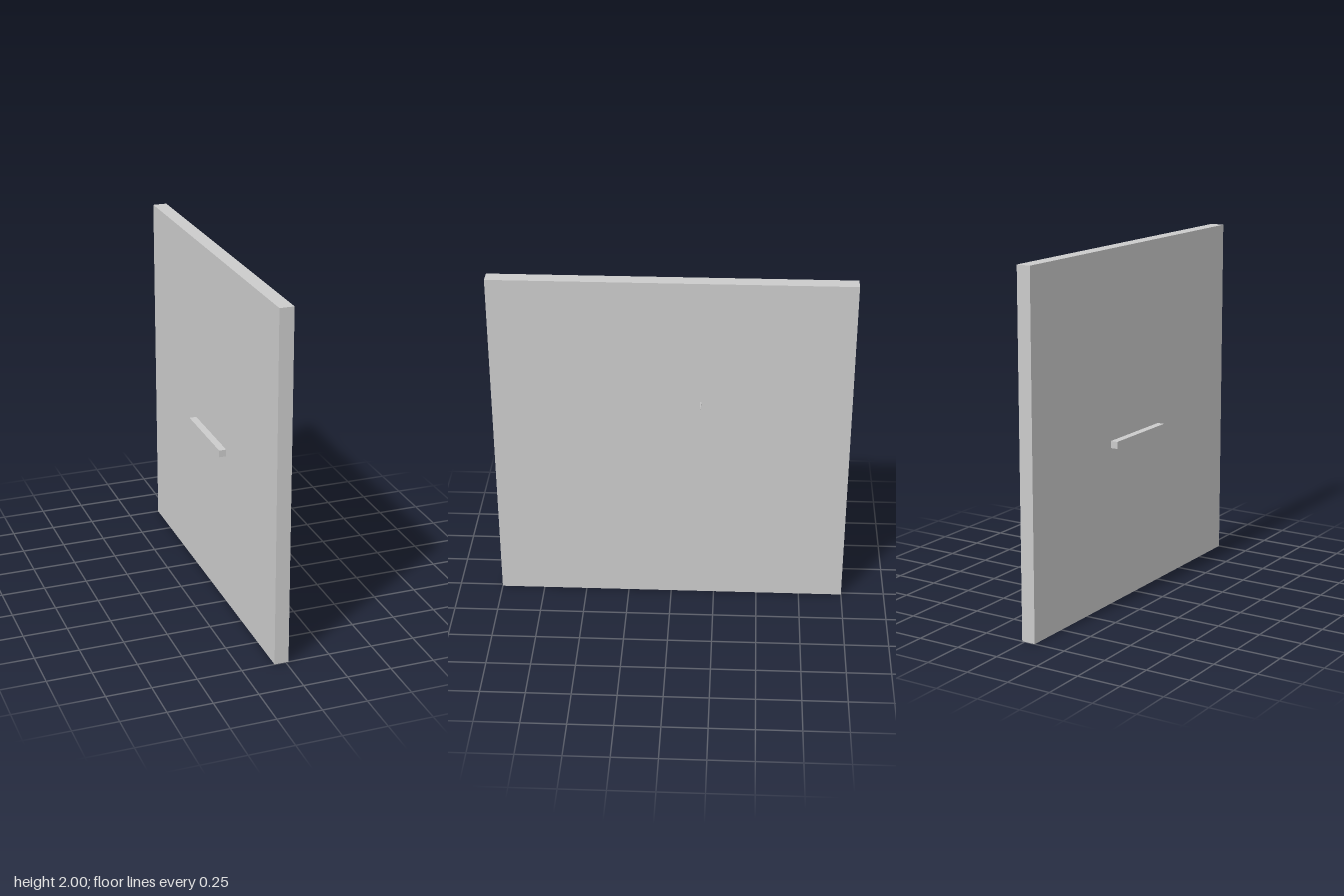
import * as THREE from 'three';

const material = new THREE.MeshStandardMaterial({ color: 0xcccccc, flatShading: true });

function addPart(group, name, geometry, x, y, z) {
  const mesh = new THREE.Mesh(geometry, material);
  mesh.name = name;
  mesh.position.set(x, y, z);
  group.add(mesh);
  return mesh;
}

export function createModel() {
  const group = new THREE.Group();
  group.name = 'wallPanel';

  // Square slab standing on edge
  addPart(group, 'panel', new THREE.BoxGeometry(0.08, 2, 2), -0.024, 1, 0);

  // Horizontal ledge on the right face
  addPart(group, 'ledge', new THREE.BoxGeometry(0.041, 0.04, 0.5), -0.0845, 0.92, 0);

  // Thin tapered pin on the left face
  const pin = addPart(group, 'pin', new THREE.CylinderGeometry(0.0006, 0.003, 0.089, 8), 0.0605, 1.28, -0.165);
  pin.rotation.z = -Math.PI / 2;

  return group;
}
